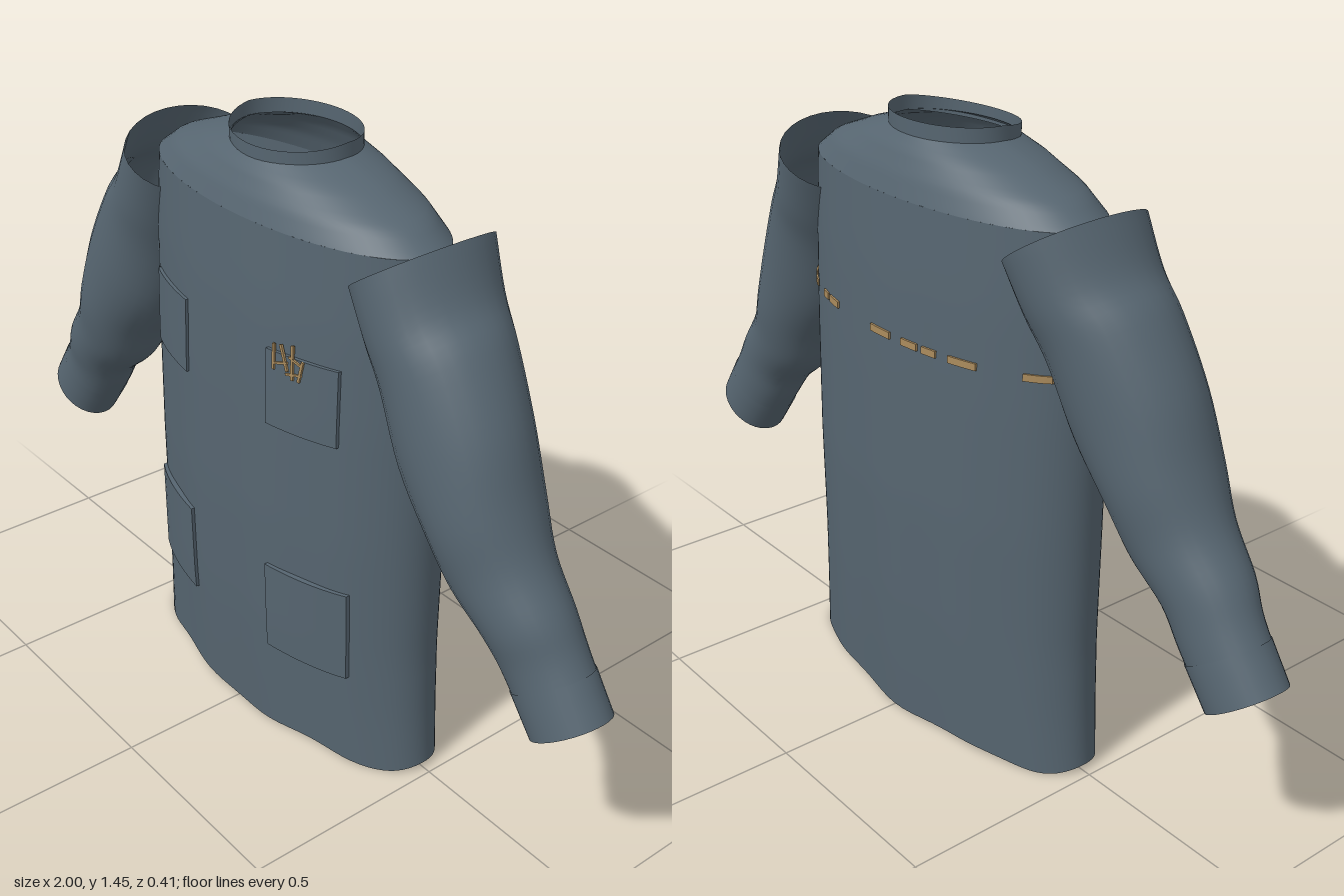
import * as THREE from 'three';
import { mergeVertices } from 'three/addons/utils/BufferGeometryUtils.js';

const cloth = new THREE.MeshStandardMaterial({ color: 0x566570, side: THREE.DoubleSide });
cloth.name = 'slate cloth';
const thread = new THREE.MeshStandardMaterial({ color: 0xa98a5c, side: THREE.DoubleSide });
thread.name = 'gold thread';

// Body profile rows: height, half width, front depth, back depth
const BODY = [
  [0, 0.482, 0.184, 0.178], [0.15, 0.47, 0.193, 0.187], [0.32, 0.461, 0.202, 0.195],
  [0.6, 0.461, 0.208, 0.202], [0.9, 0.461, 0.205, 0.197], [1.12, 0.457, 0.199, 0.191],
  [1.3, 0.45, 0.185, 0.18],
];
const YOKE = [
  [1.3, 0.45, 0.185, 0.18], [1.345, 0.385, 0.17, 0.165],
  [1.39, 0.265, 0.147, 0.143], [1.42, 0.165, 0.122, 0.12],
];

function sample(rows, y) {
  let i = 0;
  while (i < rows.length - 2 && y > rows[i + 1][0]) i++;
  const t = THREE.MathUtils.clamp((y - rows[i][0]) / (rows[i + 1][0] - rows[i][0]), 0, 1);
  return rows[i].map((a, k) => THREE.MathUtils.lerp(a, rows[i + 1][k], t));
}

// Open tube: point(angle, v) gives [x, y, z]
function loft(cols, rows, point) {
  const g = new THREE.PlaneGeometry(1, 1, cols, rows);
  const p = g.attributes.position;
  for (let i = 0; i < p.count; i++) {
    const angle = (p.getX(i) + 0.5) * Math.PI * 2;
    p.setXYZ(i, ...point(angle, p.getY(i) + 0.5));
  }
  g.deleteAttribute('uv');
  g.deleteAttribute('normal');
  const welded = mergeVertices(g, 1e-5);
  welded.computeVertexNormals();
  return welded;
}

function add(parent, name, geometry, material = cloth) {
  const mesh = new THREE.Mesh(geometry, material);
  mesh.name = name;
  parent.add(mesh);
  return mesh;
}

// Plate bent to follow the body; side is +1 for front and -1 for back
function bentPlate(cx, cy, w, h, inner, outer, side, tilt = 0) {
  const g = new THREE.BoxGeometry(w, h, 1, 8, 4, 1);
  g.rotateZ(tilt);
  g.translate(cx, cy, 0);
  const p = g.attributes.position;
  for (let i = 0; i < p.count; i++) {
    const x = p.getX(i), [, hw, front, back] = sample(BODY, p.getY(i));
    const depth = (side > 0 ? front : back) * Math.sqrt(Math.max(0, 1 - (x / hw) ** 2));
    const away = p.getZ(i) * side > 0;
    p.setZ(i, side * (depth + (away ? outer : inner)));
  }
  g.computeVertexNormals();
  return g;
}

// Sleeve edges along the arm: outer x, y, inner x, y, front z, back z
const SLEEVE = [
  [0.497, 1.345, 0.30, 1.206, 0.17, -0.18], [0.555, 1.24, 0.345, 1.10, 0.165, -0.158],
  [0.625, 1.165, 0.385, 1.008, 0.16, -0.135], [0.704, 1.03, 0.45, 0.858, 0.162, -0.115],
  [0.758, 0.886, 0.545, 0.74, 0.157, -0.10], [0.808, 0.778, 0.61, 0.644, 0.138, -0.08],
  [0.876, 0.685, 0.70, 0.57, 0.122, -0.068], [0.922, 0.607, 0.754, 0.495, 0.104, -0.064],
  [0.998, 0.495, 0.84, 0.382, 0.10, -0.062],
];
const curve = (a, b) => new THREE.CatmullRomCurve3(
  SLEEVE.map((r) => new THREE.Vector3(r[a], r[b], 0)), false, 'catmullrom');
const outerEdge = curve(0, 1), innerEdge = curve(2, 3), depthEdge = curve(4, 5);

function sleeve(side, from, to, rows, swell) {
  return loft(32, rows, (a, v) => {
    const t = THREE.MathUtils.lerp(from, to, v);
    const o = outerEdge.getPoint(t), n = innerEdge.getPoint(t), d = depthEdge.getPoint(t);
    const c = Math.cos(a) * swell / 2, s = Math.sin(a) * swell / 2;
    return [
      side * ((o.x + n.x) / 2 + (o.x - n.x) * c),
      (o.y + n.y) / 2 + (o.y - n.y) * c,
      (d.x + d.y) / 2 + (d.x - d.y) * s,
    ];
  });
}

export function createModel() {
  const jacket = new THREE.Group();
  jacket.name = 'jacket';

  // Body with soft folds that fade towards the chest, and a wavy hem
  add(jacket, 'body', loft(96, 26, (a, v) => {
    const hem = 0.014 + 0.008 * Math.cos(6 * a);
    const y = THREE.MathUtils.lerp(hem, 1.3, v);
    const [, w, front, back] = sample(BODY, y);
    const s = Math.sin(a);
    const fold = 1 + 0.022 * (1 - v) * Math.sin(11 * a) * Math.abs(s);
    return [w * Math.cos(a), y, (s > 0 ? front : back) * s * fold];
  }));

  // Shoulder yoke up to the neck opening
  add(jacket, 'yoke', loft(64, 12, (a, v) => {
    const y = THREE.MathUtils.lerp(1.3, 1.42, v);
    const [, w, front, back] = sample(YOKE, y);
    const s = Math.sin(a);
    return [w * Math.cos(a), y - 0.01 * v * Math.max(0, s), (s > 0 ? front : back) * s];
  }));

  // Standing collar, lower at the front
  add(jacket, 'collar', loft(48, 2, (a, v) => {
    const drop = Math.max(0, Math.sin(a));
    const y = THREE.MathUtils.lerp(1.418 - 0.022 * drop, 1.452 - 0.02 * drop, v);
    return [0.167 * Math.cos(a), y, 0.122 * Math.sin(a) + 0.006 * drop];
  }));

  // Sleeves and cuffs
  for (const side of [1, -1]) {
    const label = side > 0 ? 'left' : 'right';
    add(jacket, label + 'Sleeve', sleeve(side, 0, 1, 40, 1));
    add(jacket, label + 'Cuff', sleeve(side, 0.91, 1, 3, 1.02));

    // Chest and lower pockets
    add(jacket, label + 'ChestPocket', bentPlate(side * 0.237, 0.95, 0.18, 0.18, -0.008, 0.008, 1));
    add(jacket, label + 'LowerPocket', bentPlate(side * 0.25, 0.375, 0.212, 0.23, -0.008, 0.011, 1));
  }

  // Decorative stitches on the left chest: x, y, width, height, tilt
  const stitches = [
    [0.172, 1.03, 0.006, 0.06, 0], [0.2, 1.035, 0.006, 0.06, 0.3],
    [0.222, 1.03, 0.006, 0.08, 0], [0.243, 1.015, 0.006, 0.05, -0.2],
    [0.19, 1.02, 0.04, 0.005, 0.3], [0.23, 1.035, 0.035, 0.005, -0.4],
    [0.225, 1.003, 0.04, 0.005, 0.2],
  ];
  for (const [x, y, w, h, tilt] of stitches) {
    add(jacket, 'chestStitch', bentPlate(x, y, w, h, 0.007, 0.012, 1, tilt), thread);
  }

  // Broken stitched line across the back: centre x, width
  const dashes = [
    [0.415, 0.04], [0.36, 0.03], [0.27, 0.03], [0.22, 0.05],
    [0.01, 0.07], [-0.09, 0.05], [-0.15, 0.04], [-0.24, 0.07], [-0.4, 0.05],
  ];
  for (const [x, w] of dashes) {
    add(jacket, 'backStitch', bentPlate(x, 0.99, w, 0.016, 0.001, 0.006, -1), thread);
  }
  return jacket;
}
